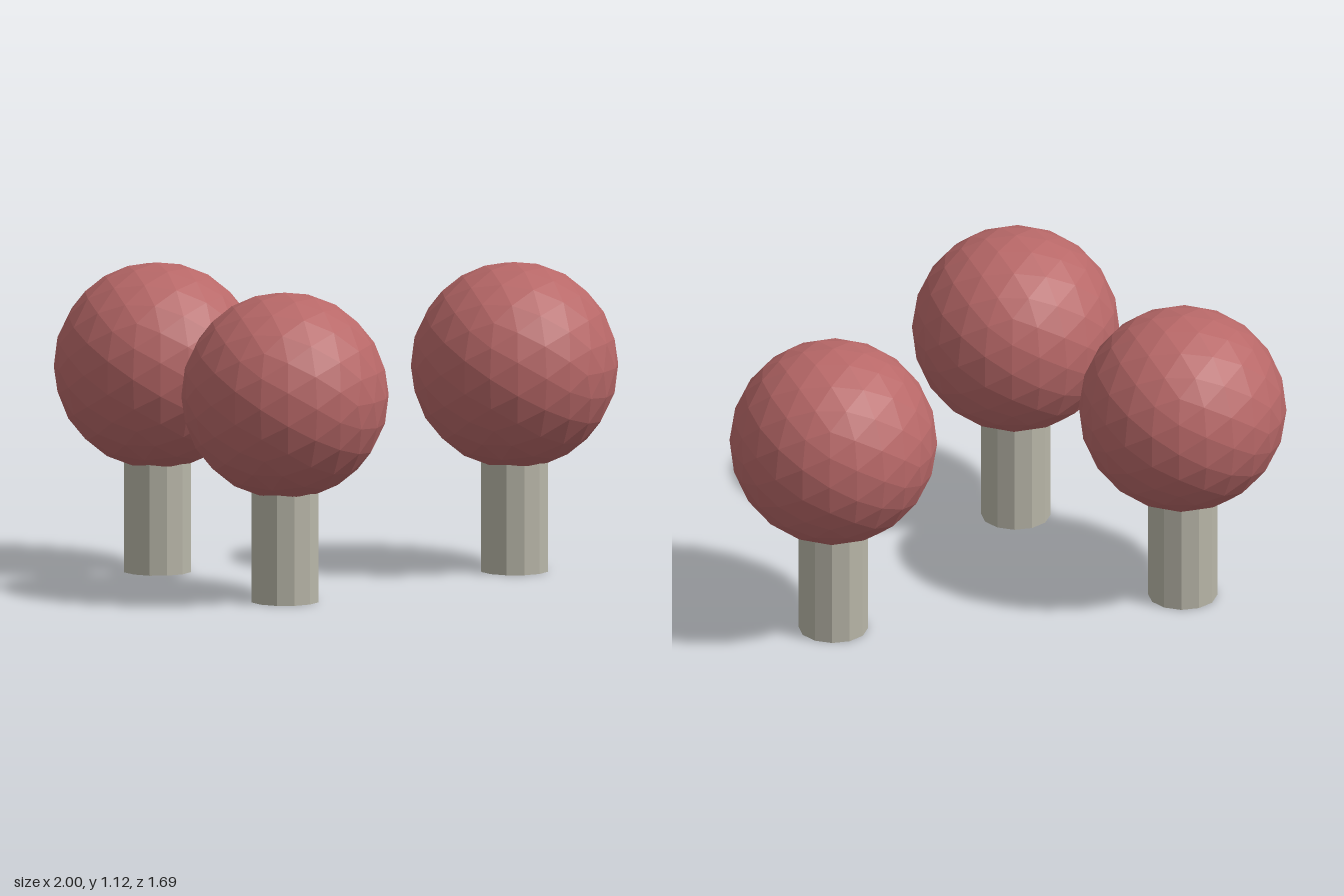
import * as THREE from 'three';

export function createModel() {
  const model = new THREE.Group();
  model.name = 'treeCluster';

  const foliageMaterial = new THREE.MeshStandardMaterial({ color: 0xb86868, flatShading: true });
  const trunkMaterial = new THREE.MeshStandardMaterial({ color: 0xb8b6a8, flatShading: true });

  // Shared shapes: a faceted ball crown on a twelve-sided trunk
  const crownRadius = 0.375, crownHeight = 0.75;
  const trunkRadius = 0.125, trunkHeight = 0.5;
  const crownGeometry = new THREE.IcosahedronGeometry(crownRadius, 3);
  const trunkGeometry = new THREE.CylinderGeometry(trunkRadius, trunkRadius, trunkHeight, 12);

  function addTree(name, x, z) {
    const tree = new THREE.Group();
    tree.name = name;
    tree.position.set(x, 0, z);

    const trunk = new THREE.Mesh(trunkGeometry, trunkMaterial);
    trunk.name = 'trunk';
    trunk.position.y = trunkHeight / 2;

    const crown = new THREE.Mesh(crownGeometry, foliageMaterial);
    crown.name = 'crown';
    crown.position.y = crownHeight;

    tree.add(trunk, crown);
    model.add(tree);
  }

  addTree('rightTree', -0.625, -0.156);
  addTree('frontTree', 0, 0.469);
  addTree('leftTree', 0.625, -0.469);

  return model;
}
